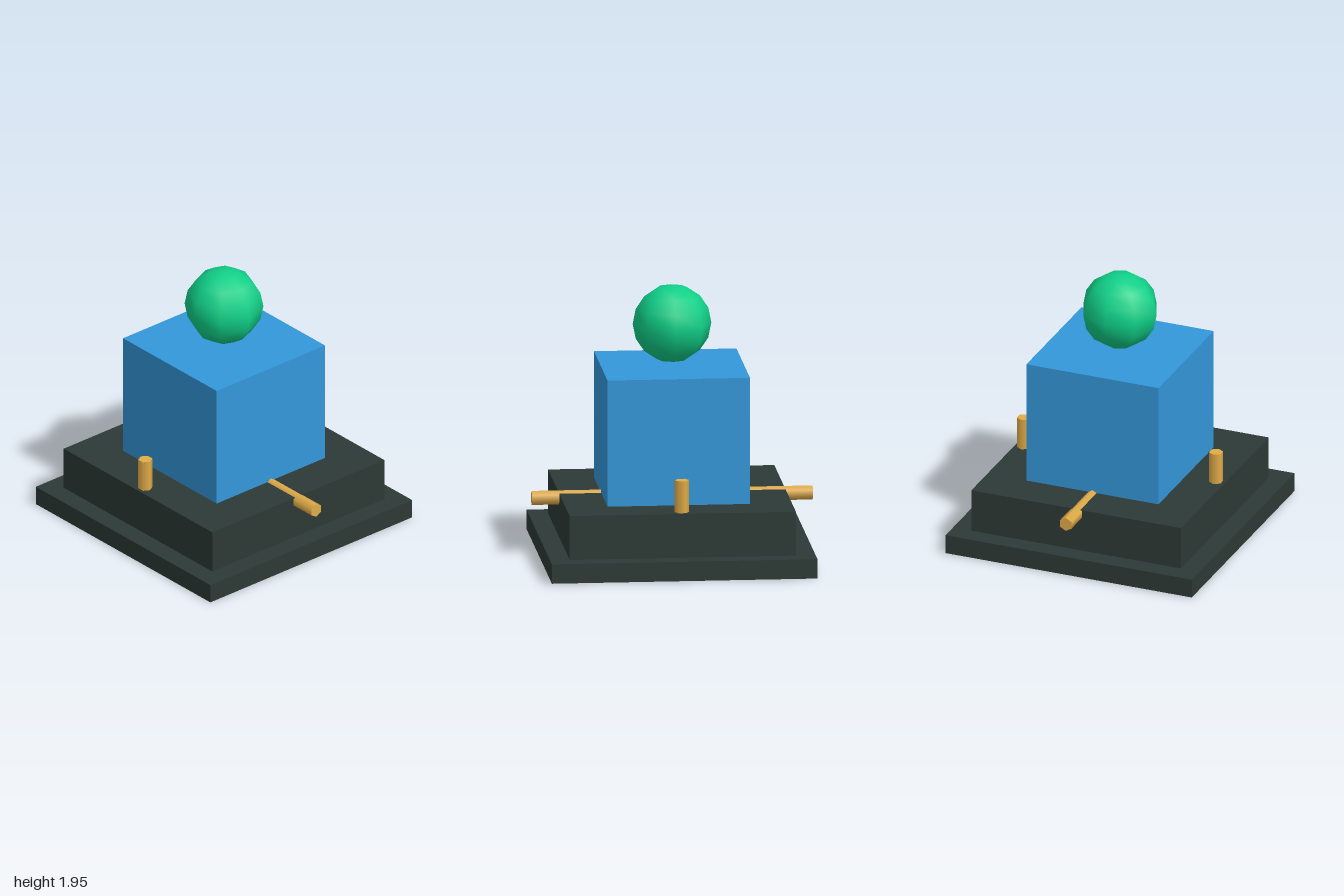
import * as THREE from 'three';

export function createModel() {
  const model = new THREE.Group();
  const dark = new THREE.MeshStandardMaterial({ color: 0x2d3a36 });
  const blue = new THREE.MeshStandardMaterial({ color: 0x3498db });
  const green = new THREE.MeshStandardMaterial({ color: 0x10d088 });
  const gold = new THREE.MeshStandardMaterial({ color: 0xe0ac48 });

  const add = (name, geometry, material, x, y, z) => {
    const mesh = new THREE.Mesh(geometry, material);
    mesh.name = name;
    mesh.position.set(x, y, z);
    model.add(mesh);
    return mesh;
  };
  // Square block between two heights
  const block = (name, width, y0, y1, material) =>
    add(name, new THREE.BoxGeometry(width, y1 - y0, width), material, 0, (y0 + y1) / 2, 0);

  // Stepped plinth and cube
  block('baseSlab', 1.89, 0, 0.14, dark);
  block('upperStep', 1.61, 0.14, 0.457, dark);
  block('cube', 1.014, 0.457, 1.37, blue);

  // Floating faceted ball
  add('ball', new THREE.SphereGeometry(0.28, 8, 8), green, 0, 1.67, 0);

  // Six-sided pegs: upright at the sides, lying flat at front and back
  const upright = new THREE.CylinderGeometry(0.051, 0.051, 0.25, 6);
  const lying = new THREE.CylinderGeometry(0.051, 0.051, 0.52, 6).rotateX(Math.PI / 2);
  for (const s of [1, -1]) {
    add(s > 0 ? 'leftPeg' : 'rightPeg', upright, gold, s * 0.737, 0.563, 0);
    add(s > 0 ? 'frontPeg' : 'backPeg', lying, gold, 0, 0.424, s * 0.74);
  }
  return model;
}
